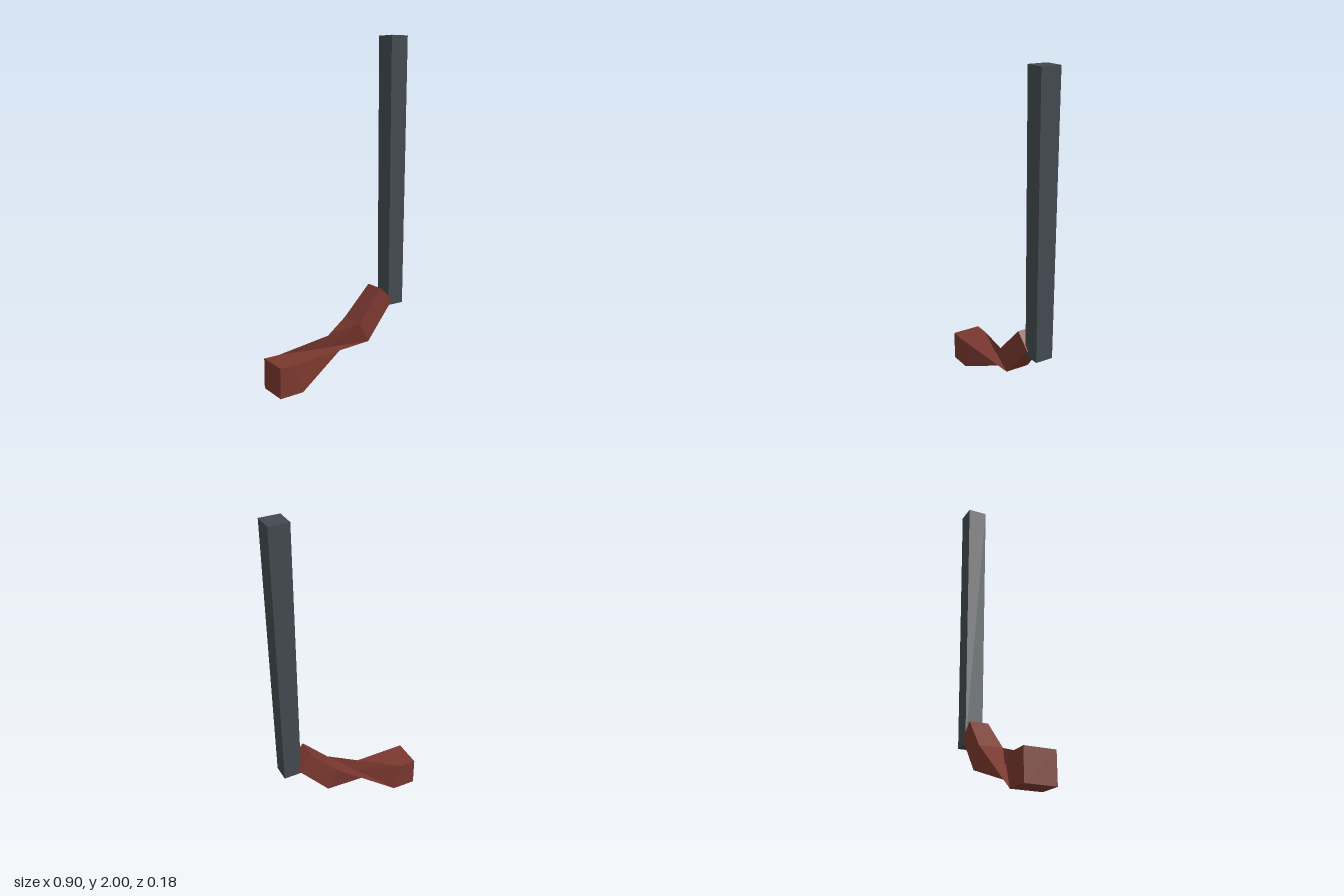
import * as THREE from 'three';

const wood = new THREE.MeshStandardMaterial({ color: 0x7a382f, side: THREE.DoubleSide, flatShading: true });
wood.name = 'reddish brown wood';
const steel = new THREE.MeshStandardMaterial({ color: 0x434a50, flatShading: true });
steel.name = 'dark grey steel';

// Four-cornered cross-section: top front, bottom front, bottom back, top back
const ring = (topX, topY, bottomX, bottomY, z) => [
  [topX, topY, z], [bottomX, bottomY, z], [bottomX, bottomY, -z], [topX, topY, -z],
];

// Skin between two cross-sections; twist shifts the corners of the second one
function segment(name, a, b, { twist = 0, startCap = false, endCap = false } = {}) {
  const pos = [];
  const tri = (...corners) => corners.forEach((c) => pos.push(...c));
  for (let i = 0; i < 4; i++) {
    const j = (i + 1) % 4;
    const bi = b[(i + twist) % 4], bj = b[(j + twist) % 4];
    tri(a[i], a[j], bi);
    tri(a[j], bj, bi);
  }
  if (startCap) { tri(a[0], a[2], a[1]); tri(a[0], a[3], a[2]); }
  if (endCap) { tri(b[0], b[1], b[2]); tri(b[0], b[2], b[3]); }
  const geo = new THREE.BufferGeometry();
  geo.setAttribute('position', new THREE.Float32BufferAttribute(pos, 3));
  geo.computeVertexNormals();
  const mesh = new THREE.Mesh(geo, wood);
  mesh.name = name;
  return mesh;
}

export function createModel() {
  const model = new THREE.Group();
  model.name = 'model';

  // Stock: end block, half-turned middle, and angled grip
  const end = ring(-0.453, 0.18, -0.453, 0, 0.09);
  const blockEdge = ring(-0.353, 0.18, -0.306, 0.003, 0.09);
  const bend = ring(0.102, 0.325, 0.17, 0.2, 0.073);
  const joint = ring(0.27, 0.51, 0.365, 0.425, 0.059);
  const stock = new THREE.Group();
  stock.name = 'stock';
  stock.add(
    segment('endBlock', end, blockEdge, { startCap: true }),
    segment('twistedMiddle', blockEdge, bend, { twist: 2 }),
    segment('grip', bend, joint, { endCap: true }),
  );
  model.add(stock);

  // Square upright bar, slightly slimmer at the bottom
  const bottom = 0.39, top = 2;
  const geo = new THREE.CylinderGeometry(0.118 / Math.SQRT2, 0.107 / Math.SQRT2, top - bottom, 4, 1);
  geo.rotateY(Math.PI / 4);
  const bar = new THREE.Mesh(geo, steel);
  bar.name = 'uprightBar';
  bar.position.set(0.393, (top + bottom) / 2, 0);
  model.add(bar);

  return model;
}
